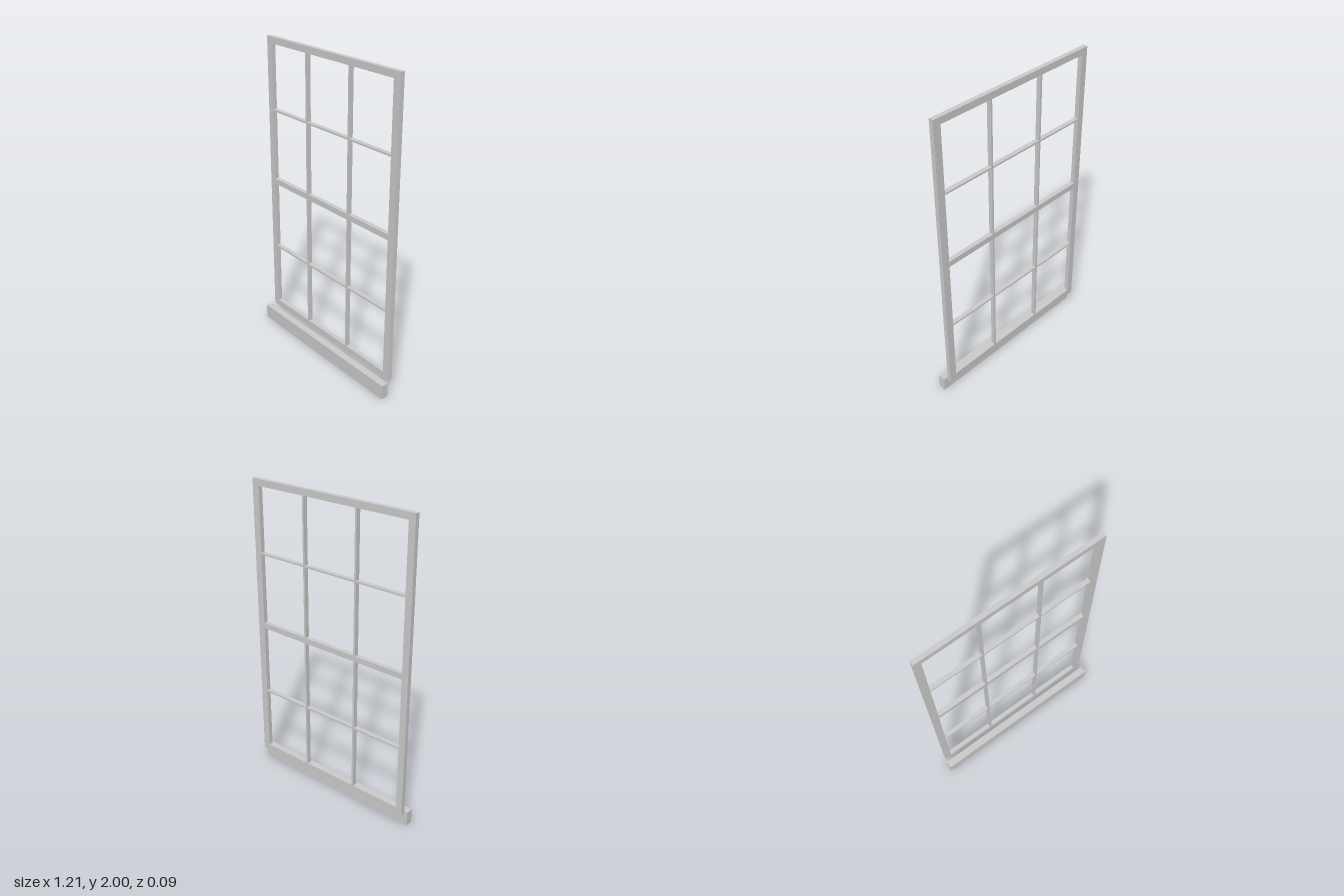
import * as THREE from 'three';

const material = new THREE.MeshStandardMaterial({ color: 0xcccccc, flatShading: true });

// Rectangle outline, as a shape or a hole path
function rectangle(path, x0, x1, y0, y1) {
  path.moveTo(x0, y0);
  path.lineTo(x1, y0);
  path.lineTo(x1, y1);
  path.lineTo(x0, y1);
  path.closePath();
  return path;
}

export function createModel() {
  const group = new THREE.Group();
  group.name = 'window';

  // Openings between stiles, muntins and rails: [start, end]
  const columns = [[-0.55, -0.21], [-0.197, 0.18], [0.192, 0.54]];
  const rows = [[0.14, 0.563], [0.575, 1.031], [1.068, 1.529], [1.541, 1.958]];

  // Sash frame with three by four open panes
  const outline = rectangle(new THREE.Shape(), -0.594, 0.589, 0.097, 2);
  for (const [x0, x1] of columns) {
    for (const [y0, y1] of rows) {
      outline.holes.push(rectangle(new THREE.Path(), x0, x1, y0, y1));
    }
  }
  const frameGeometry = new THREE.ExtrudeGeometry(outline, { depth: 0.029, bevelEnabled: false });
  const frame = new THREE.Mesh(frameGeometry, material);
  frame.name = 'sashFrame';
  frame.position.z = -0.047;
  group.add(frame);

  // Sill standing just in front of the frame
  const sill = new THREE.Mesh(new THREE.BoxGeometry(1.21, 0.096, 0.048), material);
  sill.name = 'sill';
  sill.position.set(0, 0.048, 0.023);
  group.add(sill);

  return group;
}
